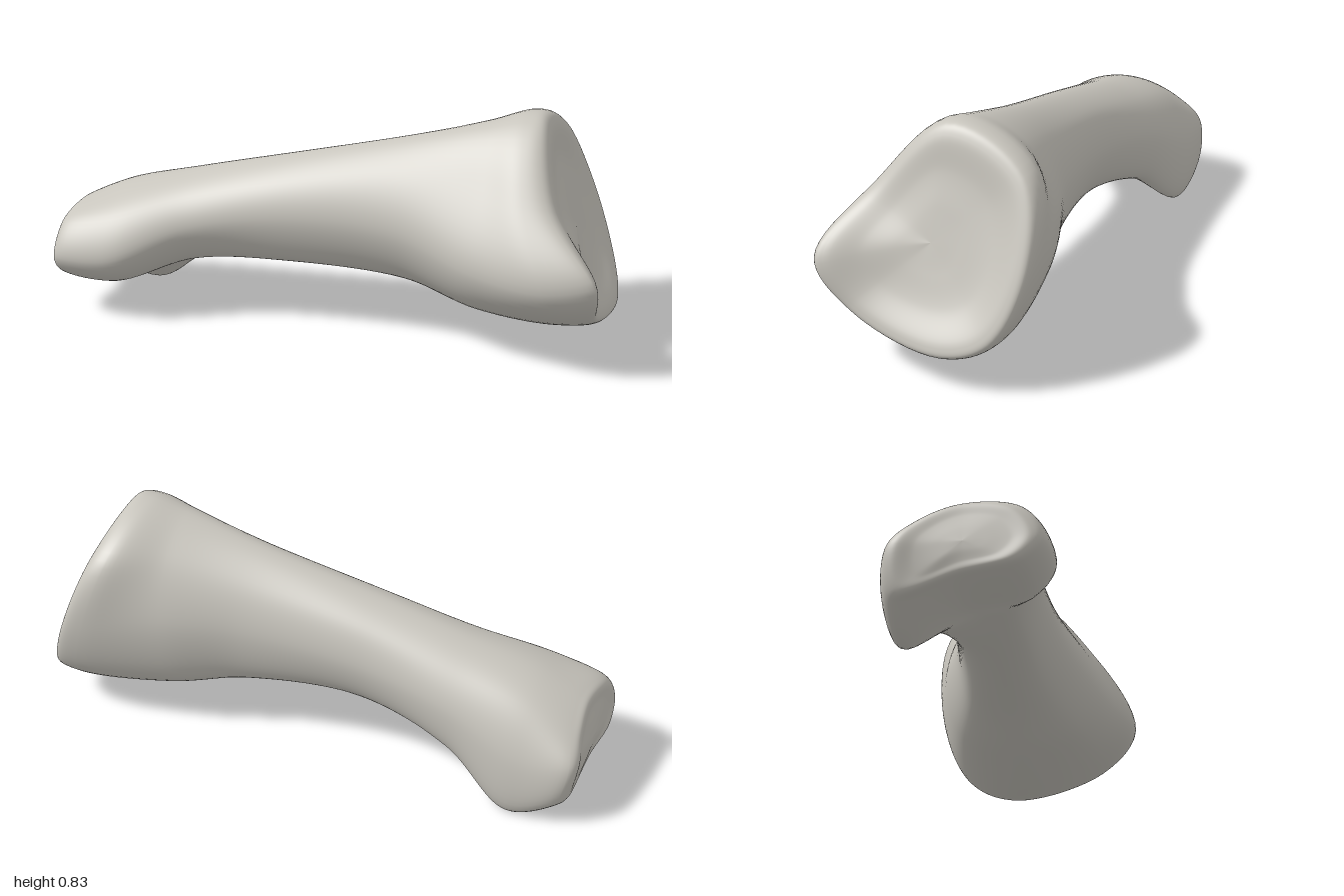
import * as THREE from 'three';

// Cross-sections of the shaft from the narrow end to the broad end.
// Each point is [across, height, optional own station], clockwise from the top.
const SHAFT = [
  { s: -0.82, p: [[0, .465], [.17, .41], [.268, .23], [.242, .003, -.785], [.03, .11], [-.19, .148], [-.262, .25], [-.185, .4]] },
  { s: -0.55, p: [[.01, .535], [.15, .475], [.22, .34], [.18, .165], [.01, .195], [-.115, .235], [-.185, .36], [-.13, .475]] },
  { s: -0.2, p: [[0, .618], [.13, .555], [.18, .41], [.12, .25], [0, .217], [-.11, .26], [-.172, .42], [-.12, .55]] },
  { s: 0.22, p: [[0, .715], [.14, .63], [.205, .45], [.15, .24], [0, .193], [-.14, .25], [-.215, .42], [-.14, .61]] },
  { s: 0.5, p: [[-.02, .787], [.19, .7], [.29, .47], [.22, .2], [.03, .125], [-.23, .19], [-.325, .35], [-.2, .61]] },
];
// Rim of the rounded knuckle end
const KNUCKLE = [[.02, .4, -.97], [.17, .34, -.98], [.255, .245, -1.0], [.245, .08, -.965],
  [.02, .13, -.99], [-.175, .16, -1.025], [-.238, .24, -1.025], [-.17, .36, -1.005]];
// Widest belt of the head and the rim of its face
const BELT = [[-.02, .822, .63], [.29, .715, .68], [.345, .44, .77], [.255, .175, .84],
  [.05, .087, .83], [-.285, .183, .78], [-.408, .335, .75], [-.265, .59, .65]];
const RIM = [[-.02, .818, .69], [.28, .705, .745], [.332, .43, .855], [.24, .19, .94],
  [.07, .125, .965], [-.27, .2, .92], [-.395, .37, .925], [-.265, .58, .745]];

const toPoints = (p, s) => p.map(([t, y, own]) => new THREE.Vector3(t, y, own ?? s));

// Ring of an end cap: a tilted plane, with the rim's unevenness and the bulge
// fading out quadratically so the surface stays smooth at its centre
function capRing(rim, centre, tilt, f, bulge = 0) {
  return rim.map((v) => {
    const dt = v.x - centre.x, dy = v.y - centre.y;
    const plane = dt * tilt[0] + dy * tilt[1];
    const wave = v.z - centre.z - plane;
    return new THREE.Vector3(centre.x + dt * f, centre.y + dy * f, centre.z + plane * f + wave * f * f + bulge);
  });
}

function boneGeometry() {
  const knuckle = toPoints(KNUCKLE), rim = toPoints(RIM);
  const back = (f, b) => capRing(knuckle, new THREE.Vector3(.01, .24, -1.03), [.06, .1], f, b);
  const front = (f, b) => capRing(rim, new THREE.Vector3(-.02, .45, .82), [-.06, -.34], f, b);
  const rings = [
    back(0), back(.3), back(.6, -.005), back(.87, -.018), knuckle,
    ...SHAFT.map((r) => toPoints(r.p, r.s)),
    toPoints(BELT), rim,
    front(.9, .015), front(.6), front(.3), front(0),
  ];

  // Smooth along the bone first, then around every section
  const columns = rings[0].map((_, i) => new THREE.CatmullRomCurve3(rings.map((r) => r[i])));
  const rows = 150, cols = 72;
  const pos = [], index = [];
  for (let j = 0; j <= rows; j++) {
    const loop = new THREE.CatmullRomCurve3(columns.map((c) => c.getPoint(j / rows)), true);
    for (let i = 0; i < cols; i++) {
      const { x: t, y, z: s } = loop.getPoint(i / cols);
      // Turn the bone's own axes into the diagonal resting pose
      pos.push(.51 * s + .857 * t, y, .857 * s - .51 * t);
    }
  }
  for (let j = 0; j < rows; j++) {
    for (let i = 0; i < cols; i++) {
      const a = j * cols + i, b = j * cols + (i + 1) % cols;
      index.push(a, a + cols, b, b, a + cols, b + cols);
    }
  }
  const g = new THREE.BufferGeometry();
  g.setAttribute('position', new THREE.Float32BufferAttribute(pos, 3));
  g.setIndex(index);

  // Rest on the ground, centred
  g.computeBoundingBox();
  const { min, max } = g.boundingBox;
  g.translate(-(min.x + max.x) / 2, -min.y, -(min.z + max.z) / 2);
  g.computeVertexNormals();
  return g;
}

export function createModel() {
  const group = new THREE.Group();
  group.name = 'bone';
  const boneGrey = new THREE.MeshStandardMaterial({ color: 0xc8c5bd });
  boneGrey.name = 'bone grey';
  const bone = new THREE.Mesh(boneGeometry(), boneGrey);
  bone.name = 'boneBody';
  group.add(bone);
  return group;
}
